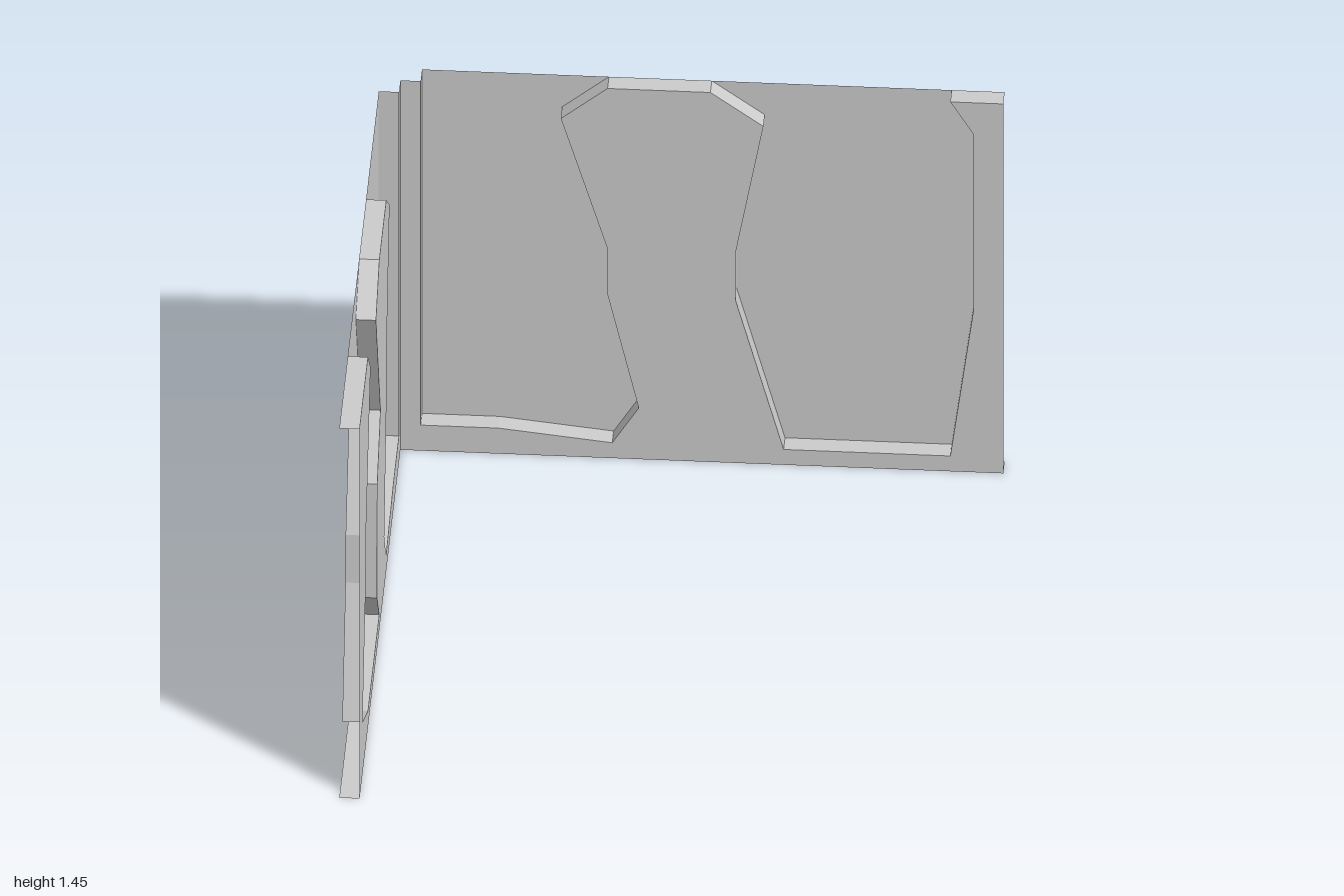
import * as THREE from 'three';

const IN = -0.935;   // inner face of both walls
const DEPTH = 0.065; // depth of the recesses
const TOP = 1.45;

// Recess outlines [along wall, height], open at the top edge
const cornerRecess = [[-0.87, TOP], [-0.87, 0.1], [-0.62, 0.1], [-0.255, 0.06], [-0.17, 0.2],
  [-0.27, 0.64], [-0.27, 0.82], [-0.42, 1.325], [-0.27, TOP]];
const backRecess = [[0.06, TOP], [0.23, 1.325], [0.14, 0.82], [0.14, 0.64], [0.295, 0.06],
  [0.83, 0.06], [0.905, 0.64], [0.905, 1.325], [0.83, TOP]];
const sideRecess = [[0.06, TOP], [0.22, 1.325], [0.005, 0.82], [0.16, 0.64], [0.17, 0.2], [0.065, 0.06],
  [0.6, 0.06], [0.86, 0.2], [0.71, 0.64], [0.7, 0.82], [0.48, 1.325], [0.6, TOP]];

const material = new THREE.MeshStandardMaterial({ color: 0xcccccc, side: THREE.DoubleSide, flatShading: true });

const outline = (pts) => new THREE.ShapeGeometry(new THREE.Shape(pts.map(p => new THREE.Vector2(...p))));

// Ribbon running back from a path by the recess depth
function ribbon(path) {
  const pos = [];
  for (let i = 0; i + 1 < path.length; i++) {
    const [a, b] = [path[i], path[i + 1]];
    pos.push(...a, 0, ...b, 0, ...b, -DEPTH, ...a, 0, ...b, -DEPTH, ...a, -DEPTH);
  }
  const g = new THREE.BufferGeometry();
  g.setAttribute('position', new THREE.Float32BufferAttribute(pos, 3));
  return g;
}

// Wall built in its own plane; the side wall swaps the x and z axes
function makeWall(name, recess, swap) {
  const wall = new THREE.Group();
  wall.name = name;
  const add = (partName, geometry, depth = 0) => {
    const g = geometry.index ? geometry.toNonIndexed() : geometry;
    g.translate(0, 0, IN - depth);
    const p = g.attributes.position;
    if (swap) {
      const src = p.clone();
      for (let i = 0; i < p.count; i++) {
        const j = i - (i % 3) + (2 - (i % 3)); // reversed corner order
        p.setXYZ(i, src.getZ(j), src.getY(j), src.getX(j));
      }
    }
    g.computeVertexNormals();
    const mesh = new THREE.Mesh(g, material);
    mesh.name = partName;
    wall.add(mesh);
  };

  // Raised face, notched by both recesses
  add('raisedFace', outline([[IN, 0], [1, 0], [1, TOP], ...[...recess].reverse(),
    ...[...cornerRecess].reverse(), [IN, TOP]]));
  // Recess floors and their walls
  for (const r of [cornerRecess, recess]) {
    add('recessFloor', outline(r), DEPTH);
    add('recessWall', ribbon(r));
  }
  // Top ledges over the raised areas
  const end = recess[recess.length - 1][0];
  for (const [a, b] of [[-0.27, 0.06], [end, 1]]) add('topLedge', ribbon([[a, TOP], [b, TOP]]));
  return wall;
}

export function createModel() {
  const model = new THREE.Group();
  model.name = 'cornerWall';
  model.add(makeWall('backWall', backRecess, false), makeWall('sideWall', sideRecess, true));

  // L-shaped base strip with a bevelled corner, facing down
  const base = outline([[1, -1], [1, IN], [IN, IN], [IN, 1], [-1, 1], [-1, -0.87],
    [-0.965, -0.965], [-0.87, -1]]);
  base.rotateX(Math.PI / 2);
  const baseMesh = new THREE.Mesh(base, material);
  baseMesh.name = 'baseStrip';
  model.add(baseMesh);
  return model;
}
